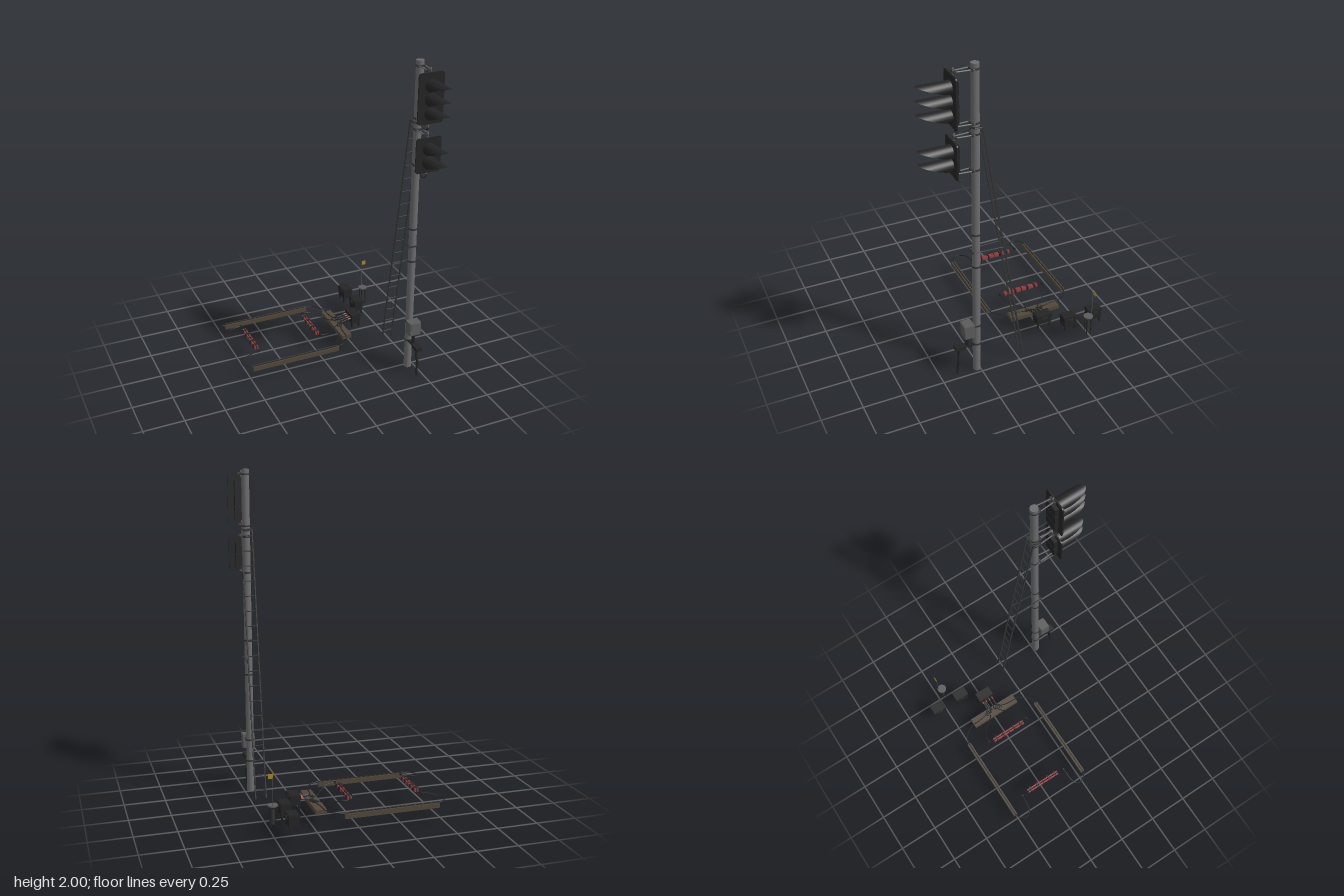
import * as THREE from 'three';

const V = (x, y, z) => new THREE.Vector3(x, y, z);
const mat = (name, color, side = THREE.FrontSide) => {
  const m = new THREE.MeshStandardMaterial({ color, side });
  m.name = name;
  return m;
};

export function createModel() {
  const root = new THREE.Group();
  root.name = 'trackSignal';
  const black = mat('black', 0x242424);
  const blackSheet = mat('blackSheet', 0x242424, THREE.DoubleSide);
  const steel = mat('mastSteel', 0x6c6c6e);
  const dark = mat('darkSteel', 0x363636);
  const cabinetGrey = mat('cabinetGrey', 0x5c5c5c);
  const white = mat('lensWhite', 0xe4e4e4);
  const brown = mat('trayBrown', 0x51473a);
  const red = mat('red', 0x9a3f42);
  const yellow = mat('yellow', 0xa58a22);

  const add = (parent, name, geo, m, x = 0, y = 0, z = 0) => {
    const mesh = new THREE.Mesh(geo, m);
    mesh.name = name;
    mesh.position.set(x, y, z);
    parent.add(mesh);
    return mesh;
  };
  const box = (p, name, m, x, y, z, w, h, d) =>
    add(p, name, new THREE.BoxGeometry(w, h, d), m, x, y, z);
  const cyl = (p, name, m, x, y, z, r, h, seg = 16, rb = r) =>
    add(p, name, new THREE.CylinderGeometry(r, rb, h, seg), m, x, y, z);
  const rod = (p, name, m, a, b, r, seg = 6) => {
    const d = b.clone().sub(a);
    const c = a.clone().add(b).multiplyScalar(0.5);
    const mesh = cyl(p, name, m, c.x, c.y, c.z, r, d.length(), seg);
    mesh.quaternion.setFromUnitVectors(V(0, 1, 0), d.normalize());
    return mesh;
  };
  const cable = (p, name, pts, r = 0.003) => {
    const curve = new THREE.CatmullRomCurve3(pts.map(a => V(...a)));
    return add(p, name, new THREE.TubeGeometry(curve, 28, r, 6), black);
  };
  const group = name => {
    const g = new THREE.Group();
    g.name = name;
    root.add(g);
    return g;
  };

  // Mast with clamp bands
  const MX = 0.46, MZ = 0.27;
  const mast = group('mast');
  cyl(mast, 'mastTube', steel, MX, 1, MZ, 0.0235, 2, 20);
  for (const y of [0.2, 0.335, 0.755, 0.97, 1.385, 1.6, 1.64, 1.665, 1.97])
    cyl(mast, 'clampBand', dark, MX, y, MZ, 0.027, 0.01, 20);

  // Visor: a tube cut obliquely, long at the top
  const visorGeometry = () => {
    const n = 20, pos = [], idx = [];
    for (let i = 0; i <= n; i++) {
      const a = (i / n) * Math.PI * 2;
      const x = Math.cos(a) * 0.043, y = Math.sin(a) * 0.037;
      pos.push(x * 0.92, y, 0, x, y, 0.005 + 0.186 * (1 + Math.sin(a)) / 2);
      if (i < n) idx.push(2 * i, 2 * i + 2, 2 * i + 1, 2 * i + 1, 2 * i + 2, 2 * i + 3);
    }
    const g = new THREE.BufferGeometry();
    g.setAttribute('position', new THREE.Float32BufferAttribute(pos, 3));
    g.setIndex(idx);
    g.computeVertexNormals();
    return g;
  };

  // Signal head: backboard, lamp units, visors, brackets and feed cable
  const signalHead = (name, y0, y1, lamps, armLow, armHigh) => {
    const g = group(name);
    const h = (y1 - y0) / 2, w = 0.08, c = 0.02, cy = (y0 + y1) / 2;
    const s = new THREE.Shape();
    s.moveTo(-w + c, -h);
    s.lineTo(w - c, -h);
    s.quadraticCurveTo(w, -h, w, -h + c);
    s.lineTo(w, h - c);
    s.quadraticCurveTo(w, h, w - c, h);
    s.lineTo(-w + c, h);
    s.quadraticCurveTo(-w, h, -w, h - c);
    s.lineTo(-w, -h + c);
    s.quadraticCurveTo(-w, -h, -w + c, -h);
    add(g, 'backboard', new THREE.ExtrudeGeometry(s, { depth: 0.008, bevelEnabled: false }), black, MX, cy, 0.4);
    for (const y of lamps) {
      box(g, 'lampHousing', black, MX, y, 0.389, 0.084, 0.074, 0.026);
      add(g, 'visor', visorGeometry(), blackSheet, MX, y, 0.408);
      const lens = cyl(g, 'lens', white, MX, y, 0.41, 0.035, 0.006, 8);
      lens.rotation.set(Math.PI / 2, Math.PI / 8, 0);
    }
    for (const y of [armLow, armHigh]) {
      for (const sx of [-1, 1])
        rod(g, 'bracketArm', steel, V(MX + sx * 0.022, y, MZ), V(MX + sx * 0.012, y, 0.392), 0.004);
      box(g, 'bracketCrossbar', dark, MX, y, 0.388, 0.05, 0.012, 0.012);
      box(g, 'bracketClamp', dark, MX, y, 0.295, 0.058, 0.012, 0.01);
      rod(g, 'bracketBolt', steel, V(MX, y - 0.02, 0.39), V(MX, y + 0.02, 0.39), 0.005);
    }
    cable(g, 'feedCable', [[MX, y0 + 0.01, 0.392], [MX, y0 - 0.035, 0.385], [MX, y0 - 0.05, 0.35],
      [MX, y0 - 0.04, 0.31], [MX, y0 - 0.03, 0.285]]);
  };
  signalHead('upperSignalHead', 1.67, 1.965, [1.89, 1.81, 1.73], 1.665, 1.97);
  signalHead('lowerSignalHead', 1.38, 1.59, [1.523, 1.443], 1.385, 1.6);

  // Ladder leaning on the mast
  const ladder = group('ladder');
  const LX = [0.43, 0.495], top = V(0, 1.645, 0.242), foot = V(0, 0.05, -0.02);
  for (const x of LX) {
    const d = top.clone().sub(foot);
    const rail = box(ladder, 'ladderRail', dark, x, (top.y + foot.y) / 2, (top.z + foot.z) / 2,
      0.007, d.length(), 0.009);
    rail.rotation.x = Math.atan2(d.z, d.y);
    rod(ladder, 'ladderStay', dark, V(x, 0.86, 0.113), V(x < MX ? 0.435 : 0.485, 0.86, 0.3), 0.003);
    rod(ladder, 'ladderHook', dark, V(x, 1.642, 0.242), V(x, 1.645, 0.29), 0.005);
  }
  for (let i = 0; i < 18; i++) {
    const p = foot.clone().lerp(top, (i + 0.6) / 18);
    rod(ladder, 'rung', dark, V(LX[0], p.y, p.z), V(LX[1], p.y, p.z), 0.003);
  }
  box(ladder, 'stayCrossbar', dark, MX, 0.86, 0.298, 0.07, 0.008, 0.006);
  box(ladder, 'topCrossbar', dark, 0.4625, 1.645, 0.244, 0.075, 0.01, 0.008);

  // Relay cabinet on the mast and the cable boot below it
  const cabinet = group('relayCabinet');
  box(cabinet, 'cabinetBody', cabinetGrey, MX, 0.315, 0.326, 0.074, 0.086, 0.058);
  box(cabinet, 'cabinetDoor', cabinetGrey, MX, 0.315, 0.357, 0.066, 0.078, 0.005);
  box(cabinet, 'cabinetBracket', dark, MX, 0.337, 0.293, 0.05, 0.012, 0.012);
  cyl(cabinet, 'cabinetNeck', black, MX, 0.235, 0.33, 0.011, 0.08, 10);
  box(cabinet, 'bootArm', black, MX, 0.2, 0.325, 0.03, 0.012, 0.09);
  box(cabinet, 'bootHead', black, MX, 0.197, 0.38, 0.04, 0.022, 0.06);
  cable(cabinet, 'bootCable', [[MX, 0.19, 0.38], [MX - 0.004, 0.14, 0.385], [MX + 0.004, 0.09, 0.389],
    [MX - 0.003, 0.04, 0.392], [MX, 0.004, 0.396]], 0.008);

  // Brown cable trays
  const CZ = -0.2425;
  const trays = group('cableTrays');
  for (const s of [-1, 1]) {
    const z = CZ + s * 0.268;
    box(trays, 'longTray', brown, -0.2, 0.085, z, 0.58, 0.03, 0.025);
    box(trays, 'longTrayCable', black, -0.2, 0.101, z, 0.58, 0.003, 0.008);
  }
  box(trays, 'crossTray', brown, 0.198, 0.082, -0.241, 0.066, 0.026, 0.336);

  // Red detectors: twin bars held by clamps
  for (const x of [-0.409, 0.011]) {
    const g = group('trackDetector');
    for (const s of [-1, 1])
      box(g, 'detectorBar', red, x + s * 0.008, 0.126, CZ, 0.007, 0.02, 0.236);
    for (const dz of [-0.094, -0.043, 0.043, 0.094]) {
      box(g, 'detectorClamp', black, x, 0.127, CZ + dz, 0.012, 0.024, 0.012);
      for (const s of [-1, 1]) cyl(g, 'clampFoot', black, x + s * 0.014, 0.13, CZ + dz, 0.006, 0.02, 8);
      box(g, 'clampTop', dark, x, 0.142, CZ + dz, 0.012, 0.012, 0.008);
    }
    box(g, 'middleBand', black, x, 0.126, CZ, 0.026, 0.023, 0.005);
  }

  // Cables, mirrored about the middle of the track
  const cables = group('cables');
  for (const s of [-1, 1]) {
    const Z = d => CZ + s * d;
    const mirror = pts => pts.map(([x, y, d]) => [x, y, Z(d)]);
    cable(cables, 'loopCable', mirror([[-0.48, 0.1, 0.268], [-0.515, 0.1, 0.258], [-0.541, 0.1, 0.225],
      [-0.535, 0.1, 0.19], [-0.5, 0.11, 0.17], [-0.45, 0.125, 0.165], [-0.415, 0.13, 0.163]]));
    box(cables, 'cablePlug', black, -0.415, 0.13, Z(0.163), 0.012, 0.012, 0.01);
    cable(cables, 'trayCable', mirror([[0.08, 0.1, 0.268], [0.12, 0.1, 0.262], [0.16, 0.099, 0.23],
      [0.185, 0.1, 0.18], [0.19, 0.1, 0.12], [0.2, 0.1, 0.07], [0.225, 0.115, 0.035]]));
    box(cables, 'cablePlug', black, 0.018, 0.13, Z(0.15), 0.012, 0.012, 0.01);
    cable(cables, 'detectorCable', mirror([[0.018, 0.13, 0.15], [0.07, 0.125, 0.143], [0.12, 0.11, 0.105],
      [0.16, 0.1, 0.055], [0.2, 0.1, 0.025], [0.225, 0.113, 0.012]]));
    // Slack coils lying on the cross tray
    for (const [x, d] of [[0.2, 0.045], [0.212, 0.022], [0.205, 0.033]]) {
      const coil = add(cables, 'cableCoil', new THREE.TorusGeometry(0.015, 0.003, 6, 14), black, x, 0.1, Z(d));
      coil.rotation.x = Math.PI / 2;
    }
    // Plugs running into the junction box
    for (const d of [0.012, 0.035]) {
      rod(cables, 'plugBoot', black, V(0.222, 0.113, Z(d)), V(0.25, 0.12, Z(d)), 0.004, 8);
      rod(cables, 'plugLead', black, V(0.25, 0.12, Z(d)), V(0.267, 0.124, Z(d)), 0.003, 8);
      rod(cables, 'plugSleeve', red, V(0.267, 0.124, Z(d)), V(0.283, 0.126, Z(d)), 0.005, 8);
      rod(cables, 'plugCollar', black, V(0.281, 0.126, Z(d)), V(0.29, 0.126, Z(d)), 0.006, 8);
    }
  }

  // Ground boxes standing on short legs
  const groundBox = (name, x, z, w, d, yTop) => {
    const g = group(name);
    box(g, 'boxBody', black, x, (yTop + 0.09) / 2, z, w - 0.006, yTop - 0.09, d - 0.008);
    box(g, 'boxLid', black, x, yTop - 0.012, z, w, 0.016, d);
    for (const sx of [-1, 1]) for (const sz of [-1, 1])
      box(g, 'boxLeg', black, x + sx * (w / 2 - 0.009), 0.076, z + sz * (d / 2 - 0.012), 0.009, 0.034, 0.009);
    for (const sx of [-1, 1]) for (const sz of [-1, 1])
      box(g, 'lidCatch', dark, x + sx * w / 2, yTop - 0.018, z + sz * d * 0.08, 0.005, 0.014, 0.008);
  };
  groundBox('junctionBox', 0.32, -0.242, 0.066, 0.104, 0.152);
  groundBox('middleGroundBox', 0.41, -0.379, 0.066, 0.092, 0.16);
  groundBox('rearGroundBox', 0.41, -0.555, 0.066, 0.092, 0.16);

  // Cable post with cap and yellow flag
  const post = group('markerPost');
  const PX = 0.5, PZ = -0.467;
  cyl(post, 'postCap', cabinetGrey, PX, 0.181, PZ, 0.029, 0.008, 20);
  cyl(post, 'postNeck', dark, PX, 0.17, PZ, 0.026, 0.014, 16, 0.015);
  cyl(post, 'postColumn', dark, PX, 0.12, PZ, 0.01, 0.1, 12);
  for (let i = 0; i < 4; i++) {
    const a = Math.PI / 4 + i * Math.PI / 2;
    const lx = PX + Math.cos(a) * 0.02, lz = PZ + Math.sin(a) * 0.02;
    rod(post, 'postLeg', black, V(lx, 0.055, lz), V(lx, 0.175, lz), 0.003);
  }
  rod(post, 'flagPole', cabinetGrey, V(0.503, 0.17, -0.488), V(0.503, 0.374, -0.488), 0.0018);
  box(post, 'flag', yellow, 0.515, 0.36, -0.488, 0.027, 0.028, 0.003);
  return root;
}
